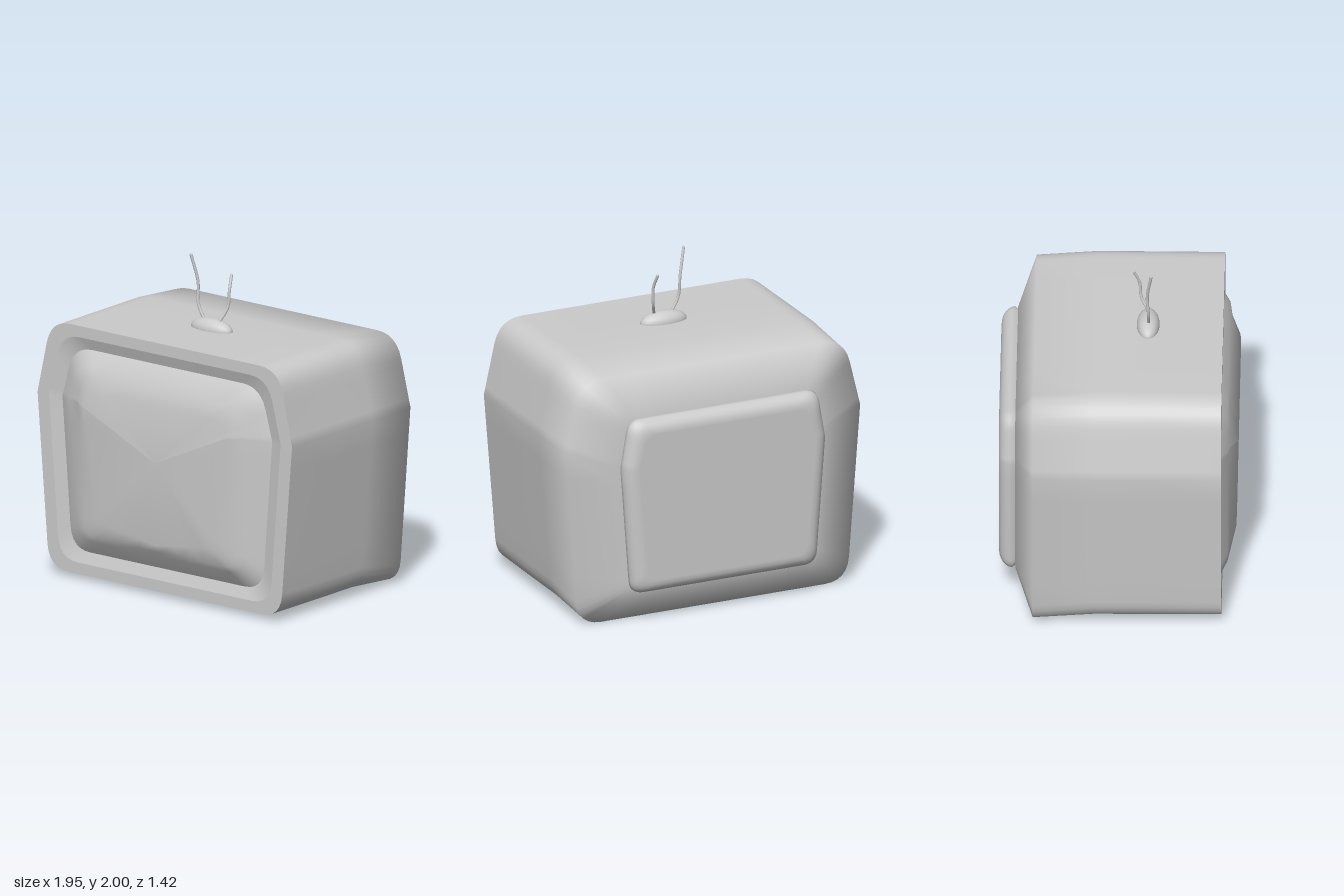
import * as THREE from 'three';

const grey = () => new THREE.MeshStandardMaterial({ color: 0xcccccc, side: THREE.DoubleSide });

// Six-sided cabinet outline with four rounded corners, counter-clockwise from the front.
// Every outline has the same number of points so that outlines can be lofted.
function outline({ y0, y1, yM = 1.1, wB, wM, wT, r }) {
  const v = (x, y) => new THREE.Vector2(x, y);
  const corners = [v(wB, y0), v(wM, yM), v(wT, y1), v(-wT, y1), v(-wM, yM), v(-wB, y0)];
  const runs = corners.map((c, i) => {
    if (i === 1 || i === 4) return [c];
    const toward = (q) => c.clone().add(q.clone().sub(c).setLength(r));
    const a = toward(corners[(i + 5) % 6]);
    const b = toward(corners[(i + 1) % 6]);
    return new THREE.QuadraticBezierCurve(a, c, b).getPoints(6);
  });
  const points = [];
  runs.forEach((run, i) => {
    points.push(...run);
    const a = run[run.length - 1];
    const b = runs[(i + 1) % 6][0];
    for (let k = 1; k < 6; k++) points.push(a.clone().lerp(b, k / 6));
  });
  return points;
}

// A ring of 3D points; z is a number or a rule of (x, y).
function ring(spec, z) {
  return outline(spec).map((p) =>
    new THREE.Vector3(p.x, p.y, typeof z === 'function' ? z(p.x, p.y) : z));
}

// Collapses a ring to one point, to close a loft.
const pointRing = (like, y, z) => like.map(() => new THREE.Vector3(0, y, z));

// Skin through rings ordered from front to back.
function loft(name, rings) {
  const n = rings[0].length;
  const index = [];
  for (let j = 0; j < rings.length - 1; j++) {
    for (let i = 0; i < n; i++) {
      const a = j * n + i;
      const a2 = j * n + (i + 1) % n;
      index.push(a, a + n, a2, a2, a + n, a2 + n);
    }
  }
  const geometry = new THREE.BufferGeometry().setFromPoints(rings.flat());
  geometry.setIndex(index);
  geometry.computeVertexNormals();
  const mesh = new THREE.Mesh(geometry, grey());
  mesh.name = name;
  return mesh;
}

export function createModel() {
  const model = new THREE.Group();
  model.name = 'television';

  // Cabinet shell, flaring slightly and then sloping in at the back
  const front = { y0: 0.03, y1: 1.56, wB: 0.88, wM: 0.967, wT: 0.865, r: 0.15 };
  const backRim = { y0: 0, y1: 1.53, wB: 0.885, wM: 0.97, wT: 0.865, r: 0.15 };
  const backEnd = { y0: 0.2, y1: 1.3, yM: 1.0, wB: 0.61, wM: 0.67, wT: 0.62, r: 0.08 };
  const end = ring(backEnd, -0.612);
  model.add(loft('cabinet', [
    ring(front, 0.612),
    ring({ ...front, wB: 0.885, wM: 0.974 }, 0.2),
    ring({ ...front, wB: 0.887, wM: 0.976 }, -0.14),
    ring(backRim, -0.505),
    end,
    pointRing(end, 0.75, -0.612),
  ]));

  // Flat front frame and the shallow sloped recess inside it
  const lip = { y0: 0.1, y1: 1.49, wB: 0.8, wM: 0.88, wT: 0.785, r: 0.14 };
  const glass = { y0: 0.17, y1: 1.42, wB: 0.725, wM: 0.797, wT: 0.71, r: 0.14 };
  model.add(loft('frontFrame', [ring(lip, 0.612), ring(front, 0.612)]));
  model.add(loft('screenRecess', [ring(glass, 0.588), ring(lip, 0.612)]));

  // Bulging screen with a stepped edge and a notched lower brow
  const bulge = (x, y) => (y > 1.1 ? 0.71 - (y - 1.1) * 0.1 : 0.71 - (1.1 - y) * 0.02);
  const face = ring({ y0: 0.39, y1: 1.2, wB: 0.42, wM: 0.55, wT: 0.5, r: 0.07 }, bulge);
  for (const p of face) if (p.y < 0.4) p.y -= 0.05 * Math.max(0, 1 - Math.abs(p.x) / 0.35);
  model.add(loft('screen', [
    pointRing(face, 0.85, 0.705),
    face,
    ring({ y0: 0.29, y1: 1.28, wB: 0.57, wM: 0.63, wT: 0.58, r: 0.09 }, 0.658),
    ring({ y0: 0.26, y1: 1.34, wB: 0.63, wM: 0.7, wT: 0.64, r: 0.11 }, 0.646),
    ring(glass, 0.588),
  ]));

  // Raised back panel with a rounded edge
  const inset = (d) => ({
    ...backEnd, y0: 0.2 + d, y1: 1.3 - d, wB: 0.61 - d, wM: 0.67 - d, wT: 0.62 - d,
  });
  const panel = [ring(inset(0.02), -0.6)];
  for (let k = 0; k <= 6; k++) {
    const a = (k / 6) * Math.PI / 2;
    panel.push(ring(inset(0.08 * (1 - Math.cos(a))), -0.63 - 0.08 * Math.sin(a)));
  }
  panel.push(ring(inset(0.09), -0.71));
  panel.push(pointRing(end, 0.75, -0.71));
  model.add(loft('backPanel', panel));

  // Oval antenna base
  const base = new THREE.Mesh(new THREE.SphereGeometry(1, 32, 20), grey());
  base.name = 'antennaBase';
  base.scale.set(0.15, 0.066, 0.068);
  base.position.set(0, 1.56, 0.167);
  model.add(base);

  // Bent antenna rods
  const rods = {
    rightAntenna: [[-0.05, 1.6, 0.17], [-0.1, 1.7, 0.17], [-0.108, 1.83, 0.163], [-0.142, 1.995, 0.186]],
    leftAntenna: [[0.055, 1.6, 0.18], [0.088, 1.7, 0.125], [0.092, 1.8, 0.115], [0.08, 1.885, 0.08]],
  };
  for (const [name, path] of Object.entries(rods)) {
    const curve = new THREE.CatmullRomCurve3(path.map((p) => new THREE.Vector3(...p)));
    const rod = new THREE.Mesh(new THREE.TubeGeometry(curve, 24, 0.009, 8), grey());
    rod.name = name;
    const tip = new THREE.Mesh(new THREE.SphereGeometry(0.009, 8, 6), grey());
    tip.name = name + 'Tip';
    tip.position.set(...path[3]);
    model.add(rod, tip);
  }
  return model;
}
